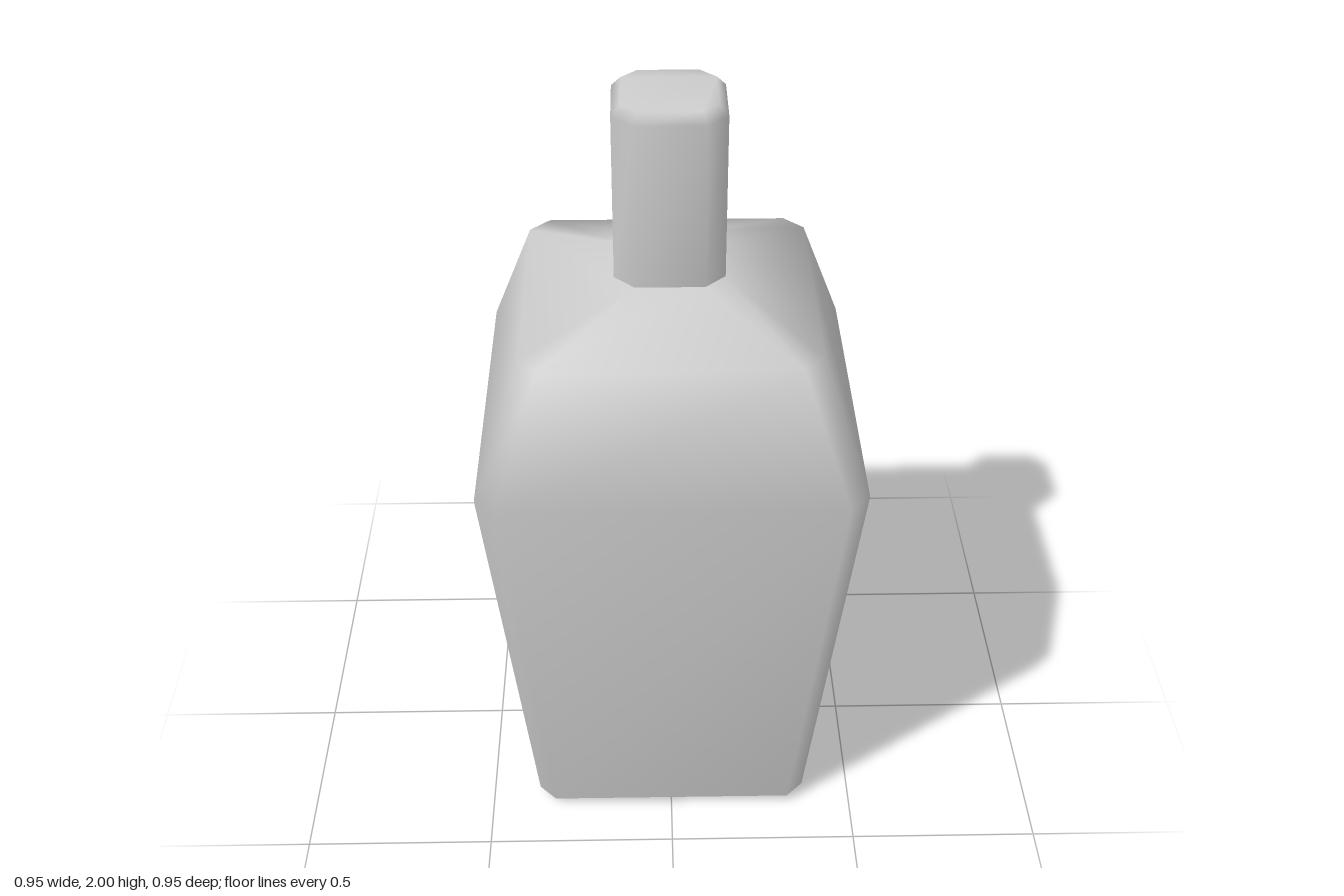
import * as THREE from 'three';

// Square ring with cut corners: half width h, corner cut c, height y
function ring(y, h, c) {
  const k = h - c;
  return [[h, -k], [h, k], [k, h], [-k, h], [-h, k], [-h, -k], [-k, -h], [k, -h]]
    .flatMap(([x, z]) => [x, y, z]);
}

// Smooth skin over stacked rings, listed from the bottom up
function loft(rings, capBottom, capTop) {
  const n = 8, index = [];
  for (let r = 0; r < rings.length - 1; r++) {
    for (let i = 0; i < n; i++) {
      const a = r * n + i, b = r * n + (i + 1) % n;
      index.push(a, a + n, b, b, a + n, b + n);
    }
  }
  const top = (rings.length - 1) * n;
  for (let i = 1; i < n - 1; i++) {
    if (capBottom) index.push(0, i, i + 1);
    if (capTop) index.push(top, top + i + 1, top + i);
  }
  const geometry = new THREE.BufferGeometry();
  const points = rings.flatMap((r) => ring(...r));
  geometry.setAttribute('position', new THREE.Float32BufferAttribute(points, 3));
  geometry.setIndex(index);
  geometry.computeVertexNormals();
  return geometry;
}

export function createModel() {
  const group = new THREE.Group();
  group.name = 'bottle';
  const grey = new THREE.MeshStandardMaterial({ color: 0xcccccc });
  grey.name = 'light grey';

  const add = (name, geometry) => {
    const mesh = new THREE.Mesh(geometry, grey);
    mesh.name = name;
    group.add(mesh);
  };

  // Tapered body with bevelled base and sloping shoulders
  add('body', loft([
    [0, 0.34, 0.03],
    [0.025, 0.37, 0.045],
    [1.14, 0.475, 0.05],
    [1.465, 0.36, 0.05],
    [1.555, 0.135, 0.05],
  ], true, false));

  // Straight neck with a bevelled top
  add('neck', loft([
    [1.555, 0.135, 0.05],
    [1.975, 0.135, 0.05],
    [2, 0.113, 0.04],
  ], false, true));

  return group;
}
